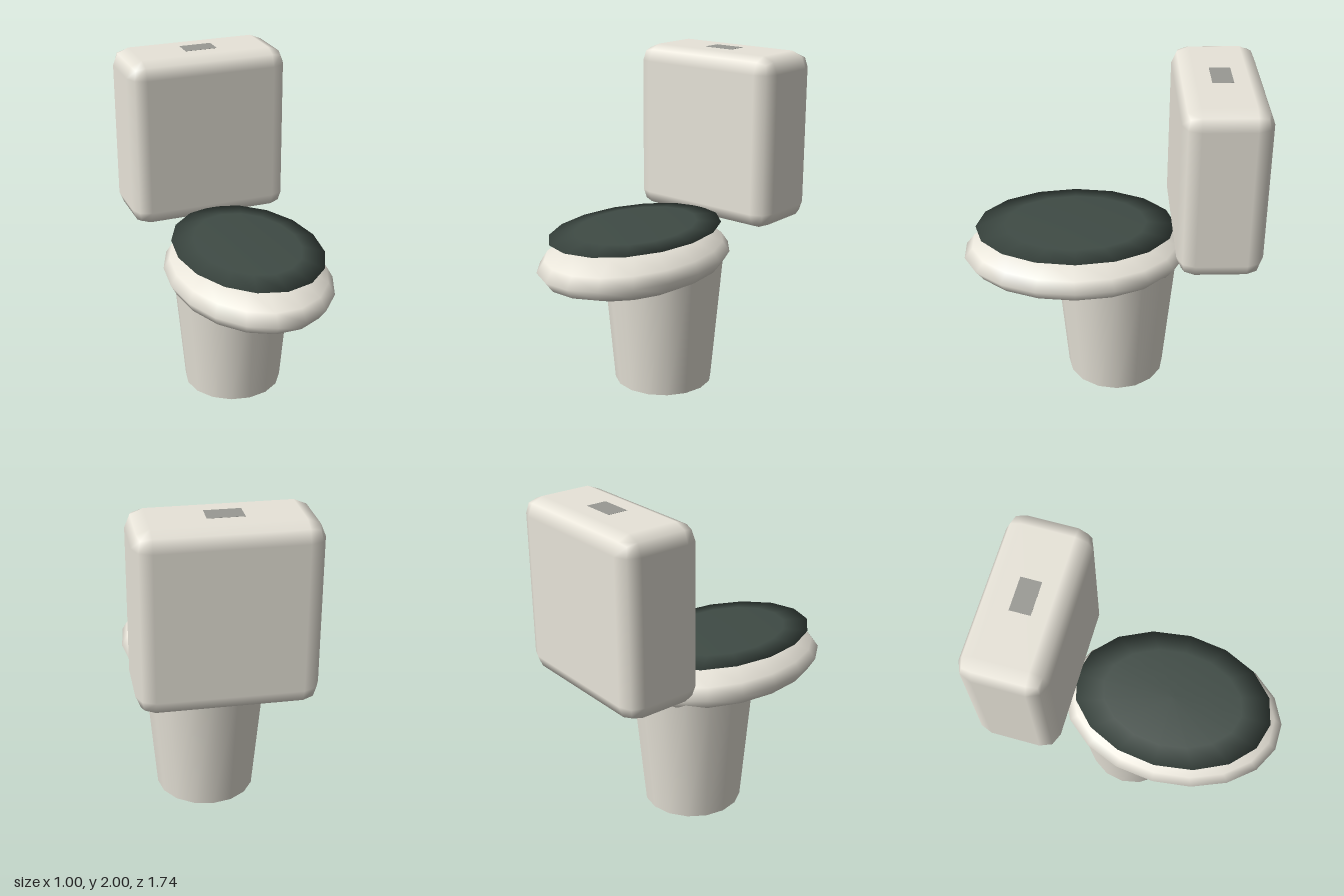
import * as THREE from 'three';
import { RoundedBoxGeometry } from 'three/addons/geometries/RoundedBoxGeometry.js';

export function createModel() {
  const model = new THREE.Group();
  const ceramic = new THREE.MeshStandardMaterial({ color: 0xe8e4d9 });
  const dark = new THREE.MeshStandardMaterial({ color: 0x3f4b45 });
  const metal = new THREE.MeshStandardMaterial({ color: 0x999994 });

  function add(name, geometry, material, x, y, z) {
    const mesh = new THREE.Mesh(geometry, material);
    mesh.name = name;
    mesh.position.set(x, y, z);
    model.add(mesh);
    return mesh;
  }

  // Tapered foot, its top hidden inside the bowl
  add('pedestal', new THREE.CylinderGeometry(0.374, 0.3, 0.85, 16), ceramic, 0, 0.425, -0.045);

  // Flattened oval bowl
  const bowl = new THREE.SphereGeometry(1, 18, 8).scale(0.475, 0.17, 0.675);
  add('bowl', bowl, ceramic, 0, 0.855, 0.205);

  // Thin oval lid resting on the bowl
  const lid = new THREE.SphereGeometry(1, 16, 4).scale(0.425, 0.029, 0.6);
  add('lid', lid, dark, 0, 1.028, 0.2);

  // Cistern with softened edges
  add('tank', new RoundedBoxGeometry(1, 1.045, 0.495, 1, 0.1), ceramic, 0, 1.4775, -0.6225);

  // Flush button set level with the top of the tank
  add('flushButton', new THREE.BoxGeometry(0.2, 0.04, 0.12), metal, 0, 1.981, -0.6225);

  return model;
}
